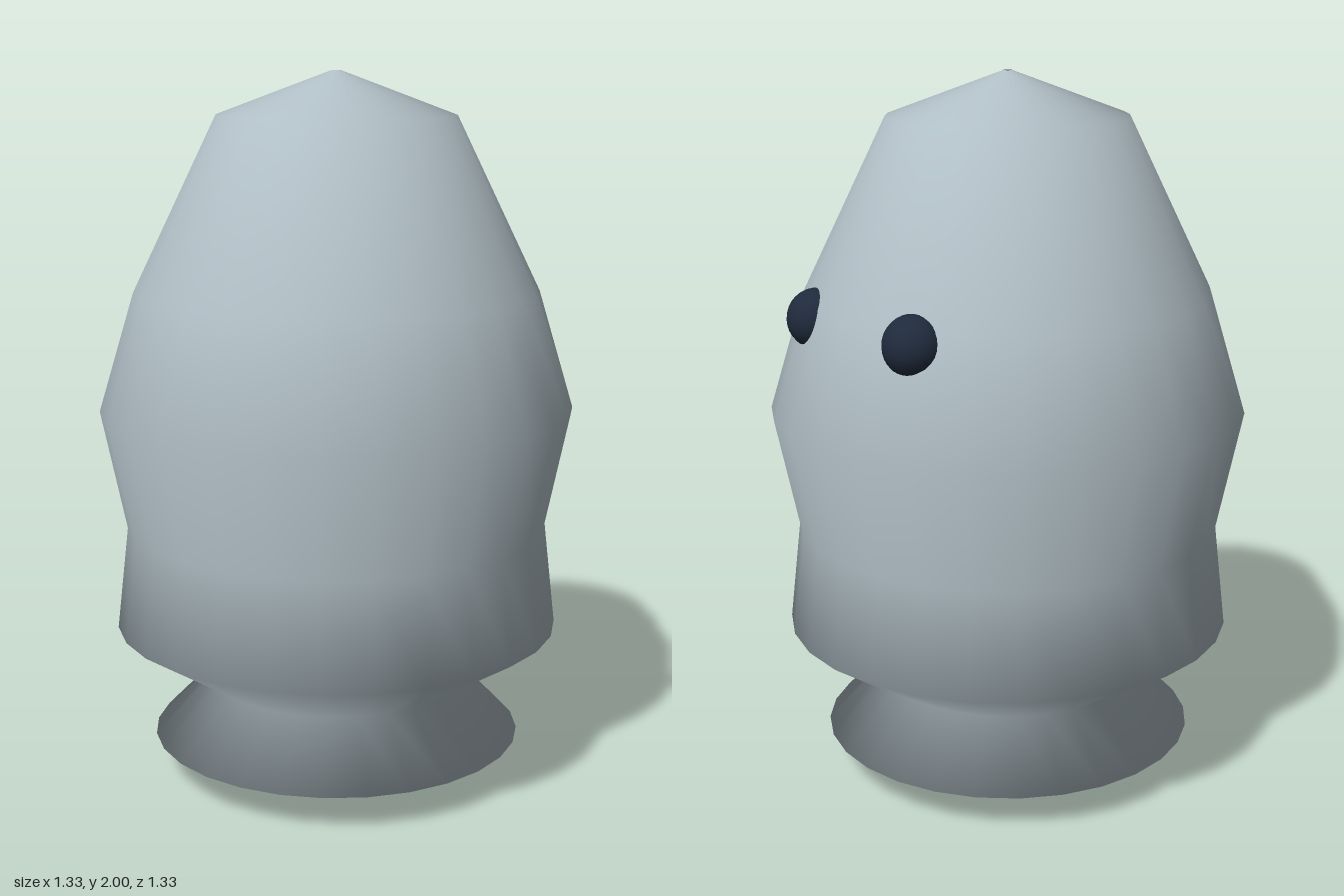
import * as THREE from 'three';

export function createModel() {
  const model = new THREE.Group();
  const shell = new THREE.MeshStandardMaterial({ color: 0xb0bec5, side: THREE.DoubleSide });
  shell.name = 'pale blue grey';
  const dark = new THREE.MeshStandardMaterial({ color: 0x1f2a3c });
  dark.name = 'dark navy';

  // Hollow turned body: open foot, flared base, waist, belly and shallow cap with a pinhole
  const profile = [
    [0.2, 0], [0.53, 0.105], [0.37, 0.27], [0.632, 0.437], [0.598, 0.73],
    [0.667, 1.07], [0.567, 1.4], [0.333, 1.88], [0.012, 2],
  ].map(([r, y]) => new THREE.Vector2(r, y));
  const body = new THREE.Mesh(new THREE.LatheGeometry(profile, 28), shell);
  body.name = 'body';
  model.add(body);

  // Two round eyes sunk into the back of the body
  const eyeGeometry = new THREE.SphereGeometry(0.083, 24, 16);
  for (const side of [1, -1]) {
    const eye = new THREE.Mesh(eyeGeometry, dark);
    eye.name = side > 0 ? 'leftEye' : 'rightEye';
    eye.position.set(side * 0.205, 1.36, -0.505);
    model.add(eye);
  }
  return model;
}
